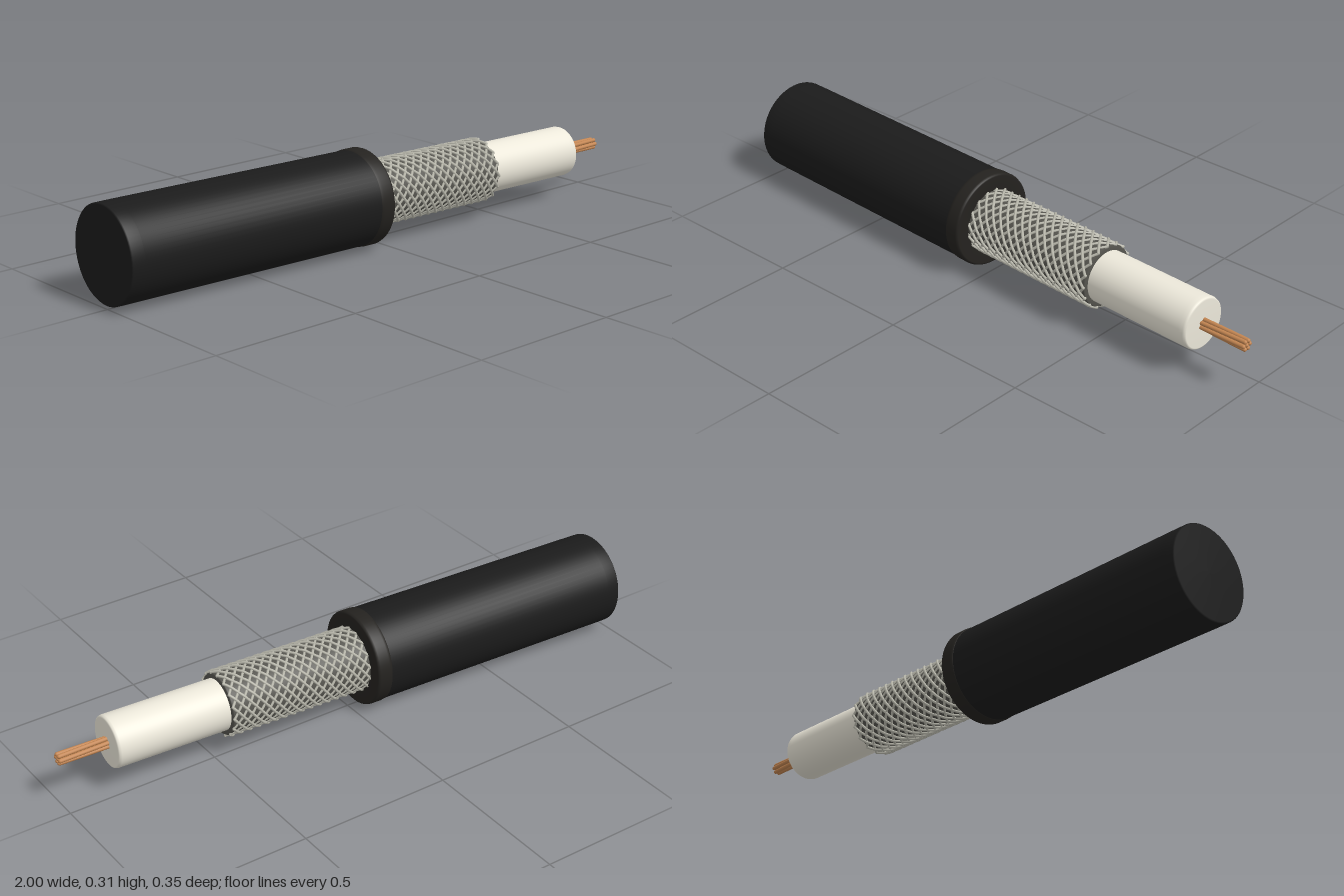
import * as THREE from 'three';

const material = (color) => new THREE.MeshStandardMaterial({ color });

function addMesh(parent, name, geometry, mat) {
  const mesh = new THREE.Mesh(geometry, mat);
  mesh.name = name;
  parent.add(mesh);
  return mesh;
}

// Smooth solid of revolution about the x axis from [x, radius] pairs, back to front
function addTurned(parent, name, profile, color) {
  const lathe = new THREE.LatheGeometry(profile.map(([x, r]) => new THREE.Vector2(r, x)), 64);
  addMesh(parent, name, lathe.rotateZ(-Math.PI / 2), material(color));
}

// Round-ended wire winding around the x axis; radiusAt(t) gives its distance from the axis
function addWire(parent, name, { x0, x1, start, turns, radiusAt, thickness, steps, sides, mat }) {
  const points = [];
  for (let i = 0; i <= steps; i++) {
    const t = i / steps;
    const a = start + turns * t * Math.PI * 2;
    const r = radiusAt(t);
    points.push(new THREE.Vector3(x0 + (x1 - x0) * t, Math.sin(a) * r, Math.cos(a) * r));
  }
  const path = new THREE.CatmullRomCurve3(points);
  addMesh(parent, name, new THREE.TubeGeometry(path, steps, thickness, sides), mat);
  for (const end of [points[0], points[steps]]) {
    addMesh(parent, name + 'Tip', new THREE.SphereGeometry(thickness, sides, 6), mat).position.copy(end);
  }
}

export function createModel() {
  const model = new THREE.Group();
  model.name = 'strippedCable';
  const cable = new THREE.Group();
  cable.name = 'cable';
  cable.position.set(0, 0.1555, 0.022);
  cable.rotation.y = -0.0445;
  model.add(cable);

  // Outer jacket and the slightly wider cut rim
  addTurned(cable, 'jacket',
    [[-0.994, 0], [-0.994, 0.148], [-0.99, 0.152], [-0.95, 0.1525], [-0.05, 0.1525]], 0x1b1b1b);
  addTurned(cable, 'jacketRim',
    [[-0.087, 0.15], [-0.084, 0.1545], [-0.075, 0.1555], [-0.042, 0.1555], [-0.035, 0.153],
      [-0.034, 0.148], [-0.034, 0.105], [-0.038, 0.1], [-0.06, 0.099]], 0x24221f);

  // Shield: a dark sleeve wrapped in two opposed sets of woven wires
  addTurned(cable, 'shieldSleeve',
    [[-0.06, 0.1], [0.44, 0.1], [0.453, 0.1], [0.456, 0.097], [0.456, 0.083]], 0x55544e);
  const braid = new THREE.Group();
  braid.name = 'shieldBraid';
  cable.add(braid);
  const braidMaterial = material(0xbab9ad);
  const count = 16;
  for (const dir of [1, -1]) {
    for (let i = 0; i < count; i++) {
      addWire(braid, 'braidWire', {
        x0: -0.05, x1: 0.455, start: (i / count) * Math.PI * 2, turns: dir,
        // The wires of one direction lie over those of the other
        radiusAt: (t) => (dir < 0 ? 0.1035 : 0.1) + dir * 0.001 * Math.cos((t * count + i) * Math.PI * 2),
        thickness: 0.0046, steps: 60, sides: 6, mat: braidMaterial,
      });
    }
  }

  // Insulating core with a softened front edge
  addTurned(cable, 'insulation',
    [[0.4, 0.084], [0.81, 0.084], [0.825, 0.084], [0.832, 0.082], [0.835, 0.077], [0.835, 0]], 0xece8da);

  // Seven-strand conductor
  const conductor = new THREE.Group();
  conductor.name = 'conductor';
  cable.add(conductor);
  const copper = material(0xc48652);
  const strand = { x0: 0.8, x1: 0.993, thickness: 0.0068, steps: 12, sides: 12, mat: copper };
  addWire(conductor, 'centreStrand', { ...strand, start: 0, turns: 0, radiusAt: () => 0 });
  for (let i = 0; i < 6; i++) {
    addWire(conductor, 'outerStrand',
      { ...strand, start: (i * Math.PI) / 3 - 0.5, turns: 0.08, radiusAt: () => 0.0138 });
  }

  return model;
}
